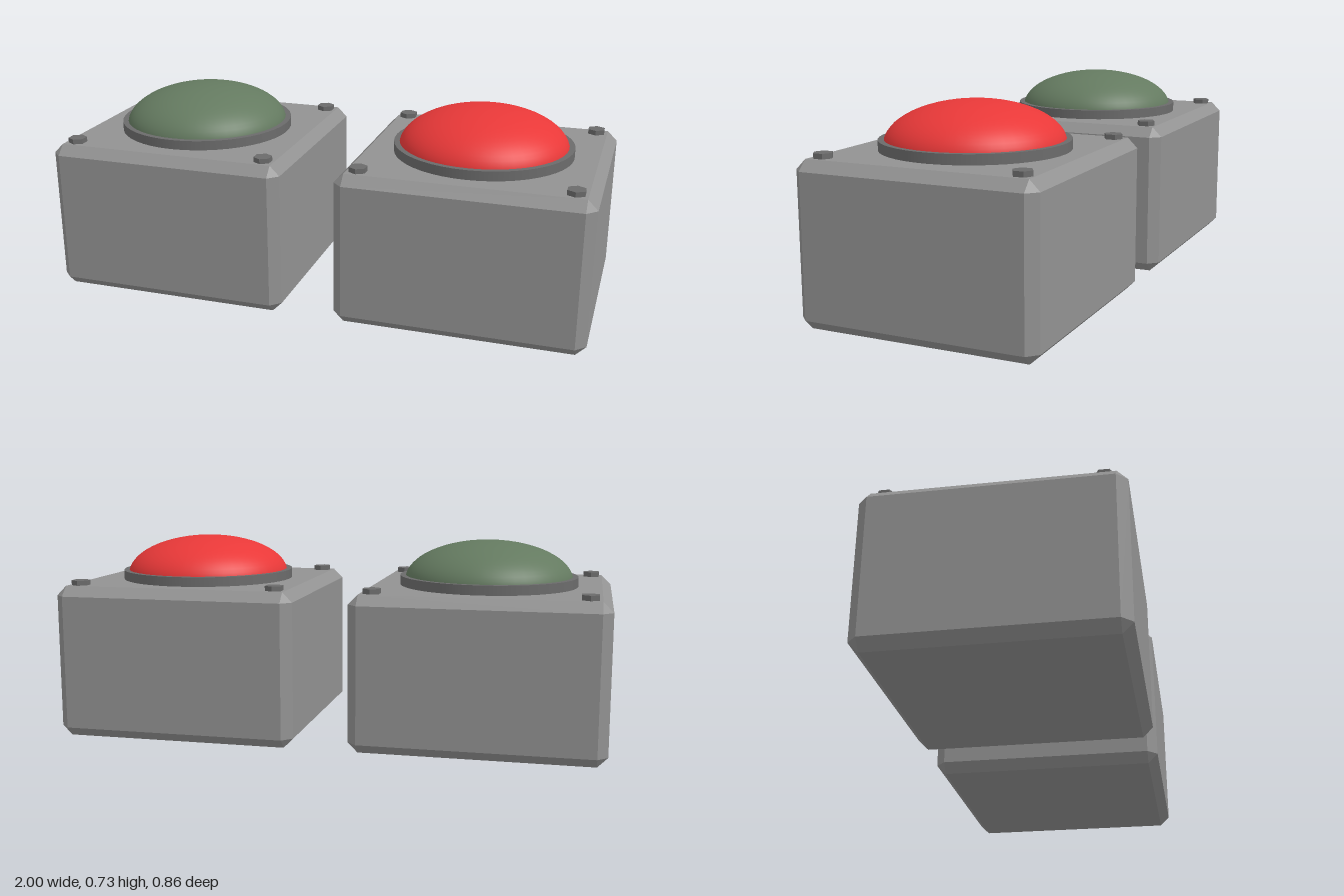
import * as THREE from 'three';
import { ConvexGeometry } from 'three/addons/geometries/ConvexGeometry.js';

const HOUSING = 0x929292;
const TRIM = 0x6b6b6b;
const TOP = 0.565; // top of the housing

function part(name, geometry, color, flatShading = false) {
  const mesh = new THREE.Mesh(geometry, new THREE.MeshStandardMaterial({ color, flatShading }));
  mesh.name = name;
  return mesh;
}

// Box with every edge cut at 45 degrees
function chamferedBox(w, h, d, c) {
  const points = [];
  for (const x of [-w / 2, w / 2]) for (const y of [-h / 2, h / 2]) for (const z of [-d / 2, d / 2]) {
    const ix = x - Math.sign(x) * c, iy = y - Math.sign(y) * c, iz = z - Math.sign(z) * c;
    points.push(new THREE.Vector3(x, iy, iz), new THREE.Vector3(ix, y, iz), new THREE.Vector3(ix, iy, z));
  }
  return new ConvexGeometry(points);
}

function createButton(name, domeColor) {
  const button = new THREE.Group();
  button.name = name;

  const housing = part('housing', chamferedBox(0.9, TOP, 0.86, 0.036), HOUSING, true);
  housing.position.y = TOP / 2;
  button.add(housing);

  // Collar around the dome
  const collar = part('collar', new THREE.CylinderGeometry(0.328, 0.328, 0.035, 48), TRIM);
  collar.position.y = TOP + 0.0175;
  button.add(collar);

  // Flattened half sphere rising through the collar
  const dome = part('dome', new THREE.SphereGeometry(1, 48, 16, 0, Math.PI * 2, 0, Math.PI / 2), domeColor);
  dome.scale.set(0.31, 0.148, 0.31);
  dome.position.y = 0.582;
  button.add(dome);

  // Hexagonal bolt heads in the four corners
  for (const x of [-0.373, 0.373]) for (const z of [-0.354, 0.354]) {
    const bolt = part('bolt', new THREE.CylinderGeometry(0.034, 0.034, 0.018, 6), TRIM, true);
    bolt.position.set(x, TOP + 0.009, z);
    button.add(bolt);
  }
  return button;
}

export function createModel() {
  const model = new THREE.Group();
  model.name = 'pushButtons';
  const green = createButton('greenButton', 0x647a60);
  green.position.x = -0.55;
  const red = createButton('redButton', 0xe83838);
  red.position.x = 0.55;
  model.add(green, red);
  return model;
}
